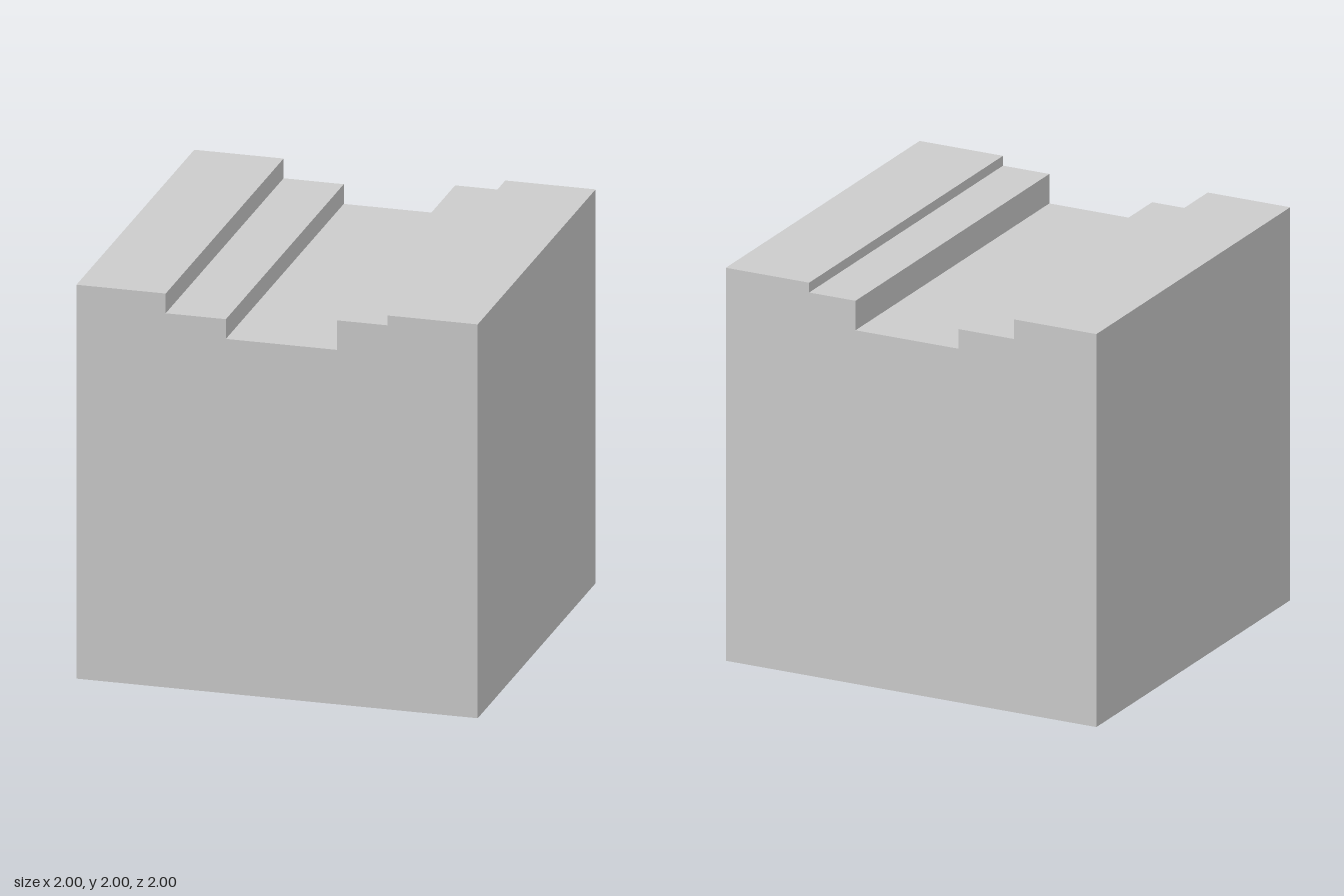
import * as THREE from 'three';

export function createModel() {
  const model = new THREE.Group();
  model.name = 'steppedBlock';

  const lightGrey = new THREE.MeshStandardMaterial({ color: 0xcccccc });
  lightGrey.name = 'lightGrey';

  // Front outline: a square block with an uneven stepped channel along the top
  const outline = new THREE.Shape([
    [-1, 0], [1, 0], [1, 2],
    [0.55, 2], [0.55, 1.95], [0.3, 1.95], [0.3, 1.8],
    [-0.255, 1.8], [-0.255, 1.9], [-0.555, 1.9], [-0.555, 2],
    [-1, 2],
  ].map(([x, y]) => new THREE.Vector2(x, y)));

  // The channel runs the full depth from front to back
  const geometry = new THREE.ExtrudeGeometry(outline, { depth: 2, bevelEnabled: false });
  geometry.translate(0, 0, -1);

  const block = new THREE.Mesh(geometry, lightGrey);
  block.name = 'channelledBlock';
  model.add(block);

  return model;
}
